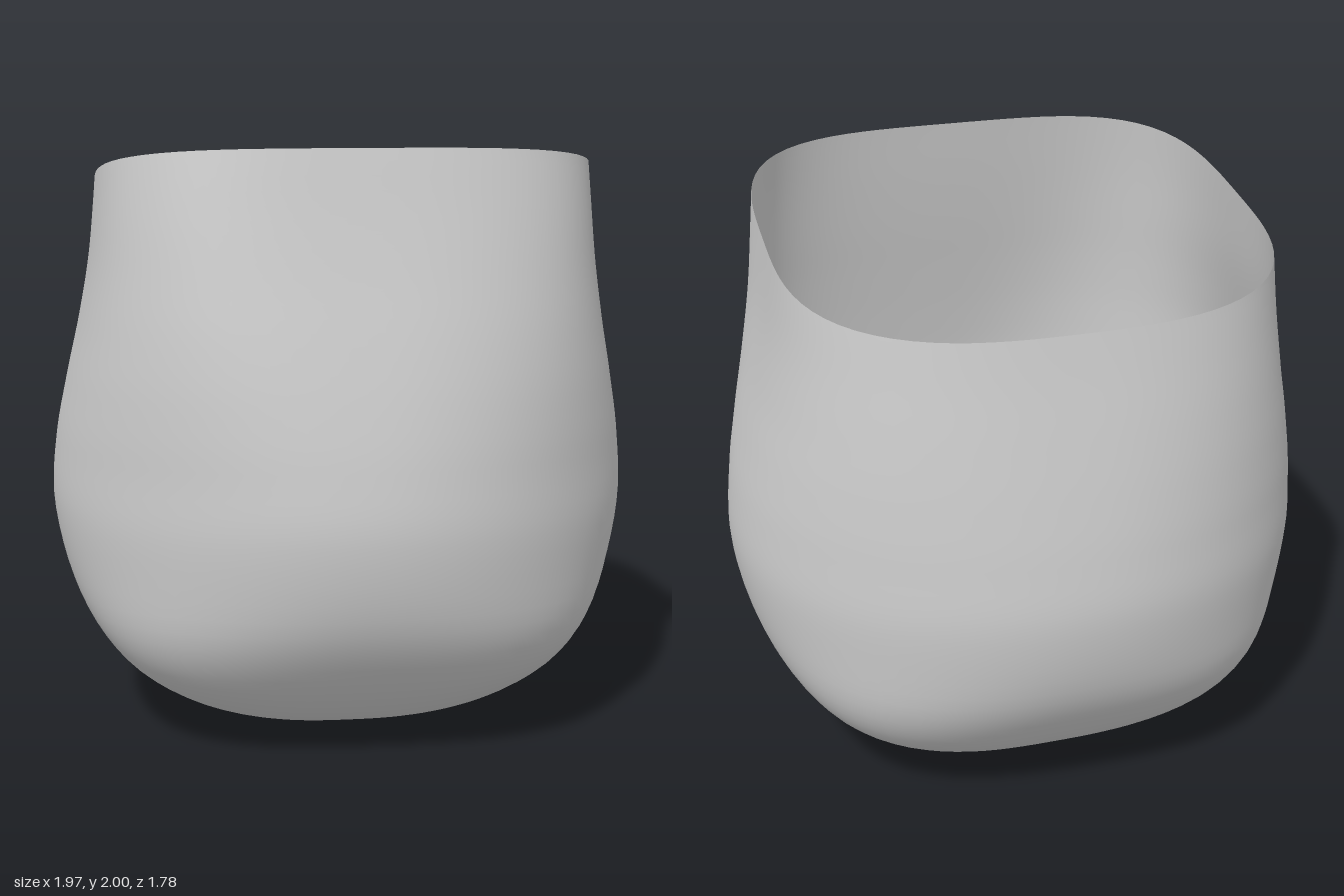
import * as THREE from 'three';

// Cross-section half sizes from base to above the rim: half width, height, half depth
const profile = new THREE.CatmullRomCurve3([
  [0, 0, 0], [0.2, 0.012, 0.19], [0.4, 0.05, 0.375], [0.6, 0.135, 0.54], [0.79, 0.29, 0.705],
  [0.92, 0.5, 0.835], [0.985, 0.78, 0.888], [0.972, 1.0, 0.87], [0.933, 1.2, 0.838],
  [0.887, 1.4, 0.8], [0.85, 1.6, 0.76], [0.828, 1.8, 0.724], [0.812, 2.0, 0.692], [0.805, 2.1, 0.675],
].map(p => new THREE.Vector3(...p)));

// Squareness: boxy near the base, rounder at the belly, boxy again at the rim
function squareness(y, sin) {
  const low = 0.9 * Math.exp(-(((y - 0.22) / 0.25) ** 2));
  const high = THREE.MathUtils.smoothstep(y, 0.8, 1.9);
  return 2.1 + low + high * (1.15 + 0.35 * sin);
}

function surfacePoint(t, angle) {
  const p = profile.getPoint(t);
  const c = Math.cos(angle), s = Math.sin(angle);
  const n = squareness(p.y, s);
  const r = (Math.abs(c) ** n + Math.abs(s) ** n) ** (-1 / n);
  return new THREE.Vector3(p.x * c * r, p.y, p.z * s * r);
}

// Where a vertical strip meets the sloping rim plane
function rimParameter(angle) {
  let lo = 0.5, hi = 1;
  for (let k = 0; k < 24; k++) {
    const mid = (lo + hi) / 2;
    const p = surfacePoint(mid, angle);
    if (p.y < 1.867 + 0.187 * p.z) lo = mid; else hi = mid;
  }
  return lo;
}

export function createModel() {
  const group = new THREE.Group();
  group.name = 'openPouch';
  const grey = new THREE.MeshStandardMaterial({ color: 0xcccccc, side: THREE.DoubleSide });
  grey.name = 'light grey';

  // Single-walled shell: one base point, then rings up to the rim
  const around = 96, rows = 56;
  const positions = [0, 0, 0], index = [];
  const id = (j, i) => (j === 0 ? 0 : 1 + (j - 1) * around + (i % around));
  const tops = Array.from({ length: around }, (_, i) => rimParameter((i / around) * Math.PI * 2));
  for (let j = 1; j <= rows; j++) {
    for (let i = 0; i < around; i++) {
      const p = surfacePoint((tops[i] * j) / rows, (i / around) * Math.PI * 2);
      positions.push(p.x, p.y, p.z);
    }
  }
  for (let j = 0; j < rows; j++) {
    for (let i = 0; i < around; i++) {
      const a = id(j, i), b = id(j + 1, i), c = id(j + 1, i + 1), d = id(j, i + 1);
      index.push(a, b, c);
      if (j > 0) index.push(a, c, d);
    }
  }
  const geometry = new THREE.BufferGeometry();
  geometry.setAttribute('position', new THREE.Float32BufferAttribute(positions, 3));
  geometry.setIndex(index);
  geometry.computeVertexNormals();

  const shell = new THREE.Mesh(geometry, grey);
  shell.name = 'shell';
  group.add(shell);
  return group;
}
